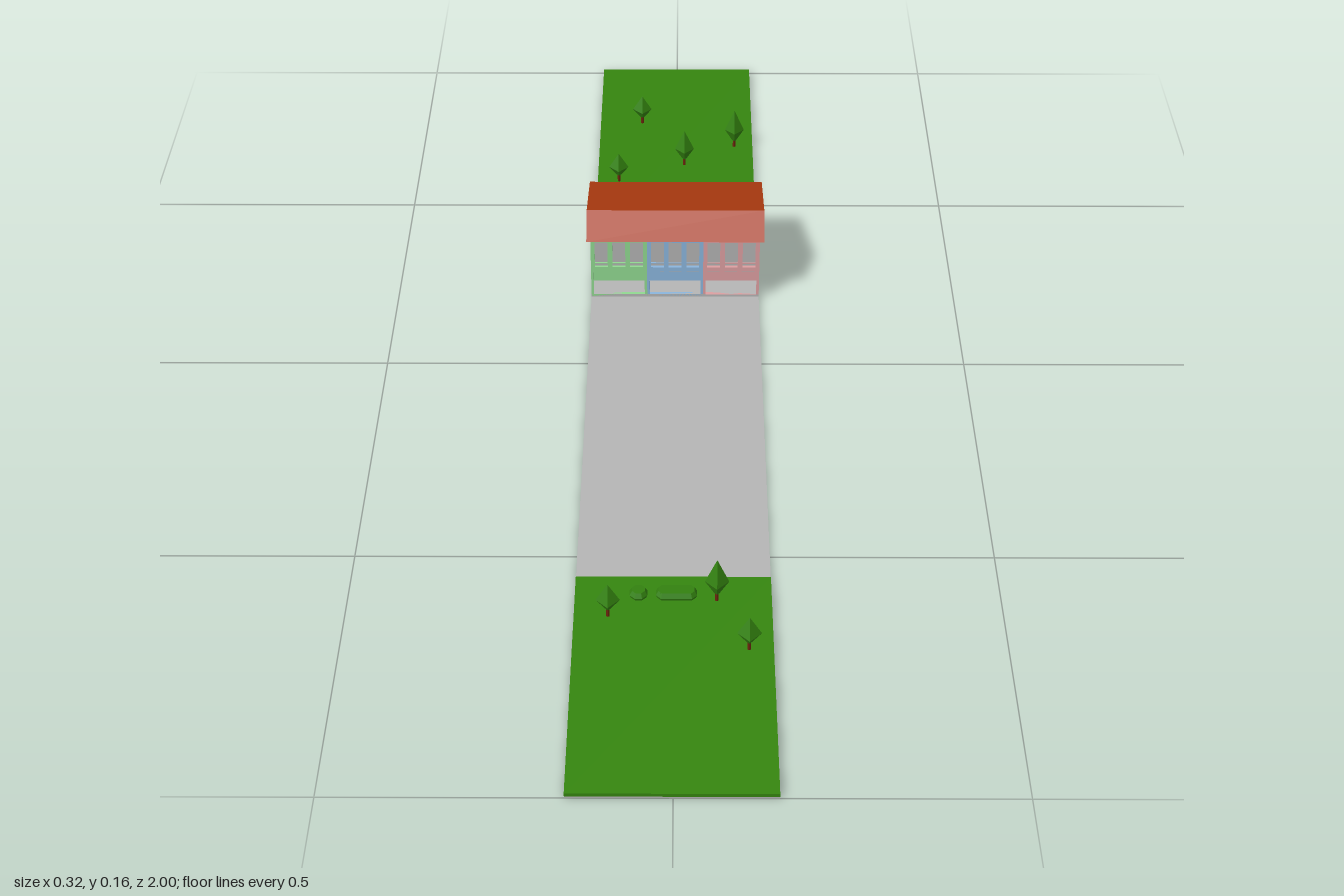
import * as THREE from 'three';

const mat = (name, color) => {
  const m = new THREE.MeshStandardMaterial({ color });
  m.name = name;
  return m;
};

export function createModel() {
  const model = new THREE.Group();
  model.name = 'terraceOnStreet';
  const paving = mat('paving grey', 0xb4b4b4);
  const glass = mat('window grey', 0xb2b2b2);
  const grass = mat('grass green', 0x35850f);
  const leaf = mat('leaf green', 0x32800f);
  const bark = mat('bark brown', 0x6a240c);
  const tile = mat('roof orange', 0xaa3a10);
  const walls = [mat('wall green', 0x90d890), mat('wall blue', 0x8ab4dc), mat('wall pink', 0xdc9ea0)];

  const add = (parent, name, geo, material, x = 0, y = 0, z = 0) => {
    const mesh = new THREE.Mesh(geo, material);
    mesh.name = name;
    mesh.position.set(x, y, z);
    parent.add(mesh);
    return mesh;
  };
  // Box given by its limits on each axis
  const box = (parent, name, material, x0, x1, y0, y1, z0, z1) =>
    add(parent, name, new THREE.BoxGeometry(x1 - x0, y1 - y0, z1 - z0), material,
      (x0 + x1) / 2, (y0 + y1) / 2, (z0 + z1) / 2);
  const faceted = (geo) => {
    const flat = geo.toNonIndexed();
    flat.computeVertexNormals();
    return flat;
  };
  const lathe = (points, sides, turn = 0) =>
    new THREE.LatheGeometry(points.map(([r, y]) => new THREE.Vector2(r, y)), sides, turn);

  // Ground: one paved slab with lawns at both ends
  const L = -0.152, R = 0.149;
  box(model, 'pavement', paving, L, R, 0, 0.003, -1, 1);
  box(model, 'frontLawn', grass, L, R, 0.002, 0.009, 0.555, 1);
  box(model, 'backLawn', grass, L, R, 0.002, 0.009, -1, -0.384);

  // Three terraced houses
  const W = (R - L) / 3, front = -0.197, porch = -0.24, back = -0.384;
  const rect = (Type, x0, x1, y0, y1) => {
    const p = new Type();
    p.moveTo(x0, y0);
    p.lineTo(x1, y0);
    p.lineTo(x1, y1);
    p.lineTo(x0, y1);
    p.closePath();
    return p;
  };
  walls.forEach((wall, i) => {
    const house = new THREE.Group();
    house.name = 'house' + (i + 1);
    house.position.x = L + W * (i + 0.5);
    model.add(house);
    const h = W / 2;
    box(house, 'floor', paving, -h, h, 0.003, 0.008, porch, front);
    box(house, 'lowerStorey', wall, -h, h, 0.003, 0.066, back, porch);
    box(house, 'upperStorey', wall, -h, h, 0.064, 0.124, back, front - 0.007);

    // Front screen: two posts with a rounded porch opening, and three window holes above
    const screen = rect(THREE.Shape, -h, h, 0.003, 0.124);
    const arch = new THREE.Path();
    const a = h - 0.0045, top = 0.059, c = 0.006;
    arch.moveTo(-a, 0.008);
    arch.lineTo(a, 0.008);
    arch.lineTo(a, top - c);
    arch.quadraticCurveTo(a, top, a - c, top);
    arch.lineTo(-a + c, top);
    arch.quadraticCurveTo(-a, top, -a, top - c);
    arch.closePath();
    screen.holes.push(arch);
    for (const x of [-0.0315, 0, 0.0315]) {
      screen.holes.push(rect(THREE.Path, x - 0.0115, x + 0.0115, 0.067, 0.12));
      box(house, 'upperWindow', glass, x - 0.0115, x + 0.0115, 0.067, 0.12, front - 0.0072, front - 0.0055);
      box(house, 'windowRail', wall, x - 0.0115, x + 0.0115, 0.0742, 0.0758, front - 0.003, front - 0.001);
      box(house, 'lowerWindow', glass, x - 0.0115, x + 0.0115, 0.029, 0.058, porch - 0.001, porch + 0.001);
    }
    add(house, 'frontScreen',
      new THREE.ExtrudeGeometry(screen, { depth: 0.007, bevelEnabled: false, curveSegments: 4 }),
      wall, 0, 0, front - 0.007);
  });

  // Roof: uneven gable, profile in (-z, y) swept along x
  const gable = new THREE.Shape();
  gable.moveTo(0.193, 0.124);
  gable.lineTo(0.39, 0.124);
  gable.lineTo(0.239, 0.161);
  gable.closePath();
  const roof = add(model, 'roof',
    new THREE.ExtrudeGeometry(gable, { depth: 0.316, bevelEnabled: false }), tile, -0.159);
  roof.rotation.y = Math.PI / 2;

  // Trees: x, z, height of the tip
  const trees = [
    [-0.1, 0.642, 0.072], [0.065, 0.607, 0.09], [0.112, 0.713, 0.072],
    [-0.069, -0.788, 0.07], [0.113, -0.7, 0.09], [0.015, -0.632, 0.085], [-0.111, -0.573, 0.07],
  ];
  for (const [x, z, tip] of trees) {
    const tree = new THREE.Group();
    tree.name = 'tree';
    tree.position.set(x, 0, z);
    model.add(tree);
    const mid = 0.018 + tip * 0.32;
    add(tree, 'trunk', faceted(new THREE.CylinderGeometry(0.003, 0.003, 0.022, 6)), bark, 0, 0.016, 0);
    add(tree, 'crown', faceted(lathe([[0, 0.023], [0.004, 0.023], [0.0185, mid], [0, tip]], 4)), leaf);
  }

  // Hedges: eight-sided bushes, the long one stretched by parting its halves
  for (const [name, x, stretch] of [['roundHedge', -0.0545, 0], ['longHedge', 0.0035, 0.018]]) {
    const geo = lathe([[0.0125, 0.008], [0.0147, 0.014], [0.0105, 0.0215], [0, 0.0215]], 8, Math.PI / 8);
    const p = geo.attributes.position;
    for (let i = 0; i < p.count; i++) {
      if (Math.abs(p.getX(i)) > 1e-6) p.setX(i, p.getX(i) + Math.sign(p.getX(i)) * stretch);
    }
    // Lid closes the gap between the parted halves
    if (stretch) box(model, 'hedgeTop', leaf, x - 0.024, x + 0.024, 0.009, 0.0215, 0.5885, 0.6055);
    add(model, name, faceted(geo), leaf, x, 0, 0.597);
  }
  return model;
}
